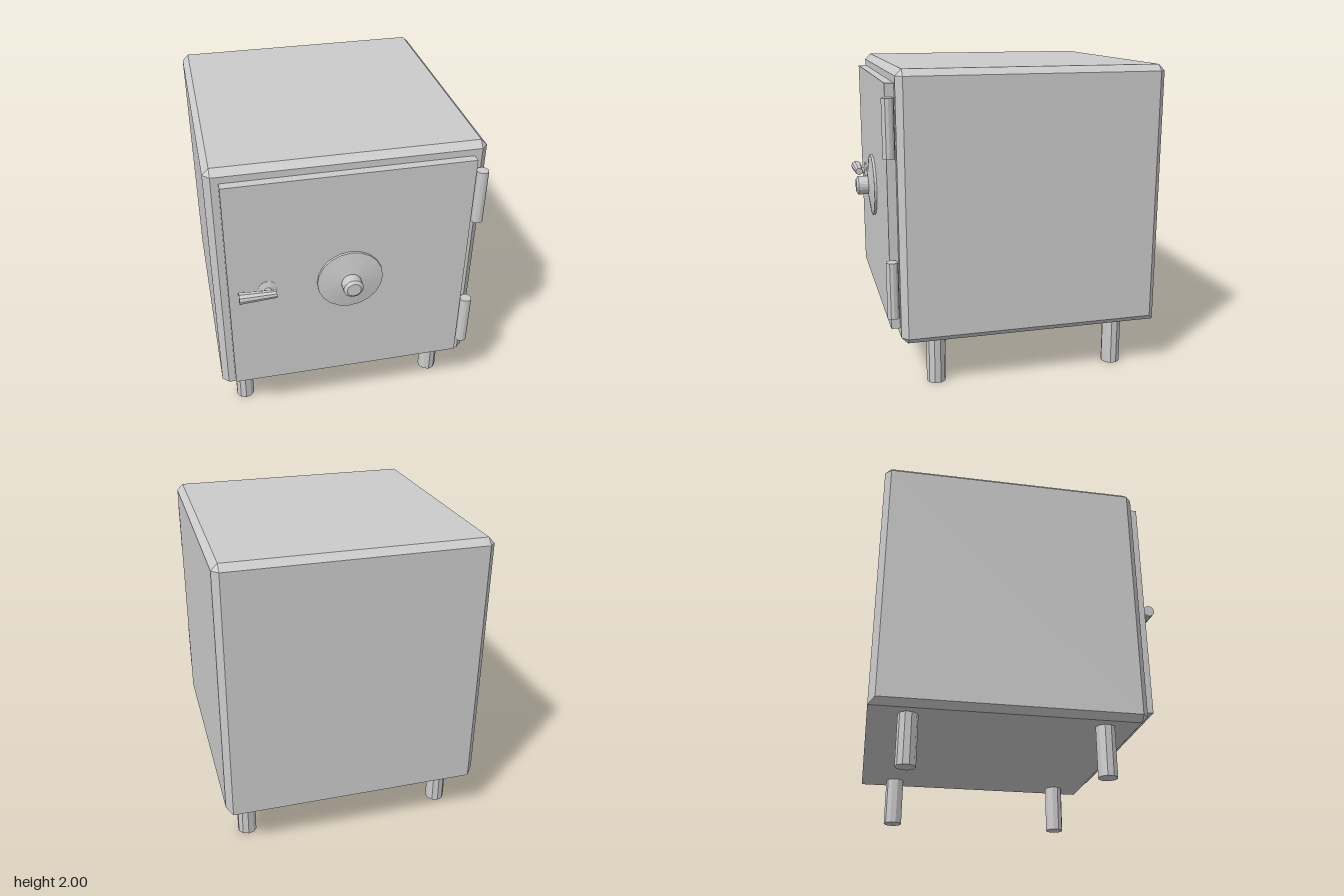
import * as THREE from 'three';
import { ConvexGeometry } from 'three/addons/geometries/ConvexGeometry.js';

const material = new THREE.MeshStandardMaterial({ color: 0xcccccc, flatShading: true });

export function createModel() {
  const group = new THREE.Group();
  const add = (name, geometry, x = 0, y = 0, z = 0) => {
    const mesh = new THREE.Mesh(geometry, material);
    mesh.name = name;
    mesh.position.set(x, y, z);
    group.add(mesh);
    return mesh;
  };

  // Cabinet: chamfered box, with a sharp lower back edge
  const X = 0.84, Y0 = 0.32, Y1 = 2, Z0 = -0.925, Z1 = 0.755, c = 0.04;
  const corners = [];
  for (const sx of [-1, 1]) for (const sy of [-1, 1]) for (const sz of [-1, 1]) {
    const x = sx * X, y = sy > 0 ? Y1 : Y0, z = sz > 0 ? Z1 : Z0;
    const xi = x - sx * c, yi = y - sy * c, zi = z - sz * c;
    corners.push(new THREE.Vector3(x, yi, zi));
    if (sy < 0 && sz < 0) corners.push(new THREE.Vector3(xi, y, z));
    else corners.push(new THREE.Vector3(xi, y, zi), new THREE.Vector3(xi, yi, z));
  }
  add('cabinet', new ConvexGeometry(corners));

  // Door slab
  add('door', new THREE.BoxGeometry(1.51, 1.51, 0.065), 0, 1.162, 0.7775);

  // Hinge barrels on the left edge of the door
  for (const [name, y] of [['upperHinge', 1.66], ['lowerHinge', 0.675]])
    add(name, new THREE.CylinderGeometry(0.037, 0.037, 0.355, 12), 0.797, y, 0.8);

  // Legs
  for (const x of [-0.68, 0.68])
    for (const [name, z] of [['frontLeg', 0.52], ['backLeg', -0.685]])
      add(name, new THREE.CylinderGeometry(0.062, 0.062, 0.33, 10), x, 0.165, z);

  // Lathe profiles are [radius, distance out from the door]
  const turned = (name, profile, sides, x) => {
    const points = profile.map(([r, d]) => new THREE.Vector2(r, d));
    add(name, new THREE.LatheGeometry(points, sides), x, 1.16, 0.808).rotation.x = Math.PI / 2;
  };

  // Combination dial: shallow cone with a bevelled knob
  turned('dial', [[0, 0], [0.208, 0], [0.208, 0.018], [0.06, 0.04], [0.063, 0.046],
    [0.063, 0.106], [0.044, 0.12], [0, 0.12]], 20, 0);

  // Handle: base plate, spindle and tapered lever
  turned('handleBase', [[0, 0], [0.062, 0], [0.062, 0.004], [0.022, 0.014],
    [0.022, 0.05], [0, 0.05]], 16, -0.515);
  add('handleLever', new THREE.CylinderGeometry(0.038, 0.026, 0.23, 10), -0.583, 1.16, 0.862)
    .rotation.z = Math.PI / 2;

  return group;
}
